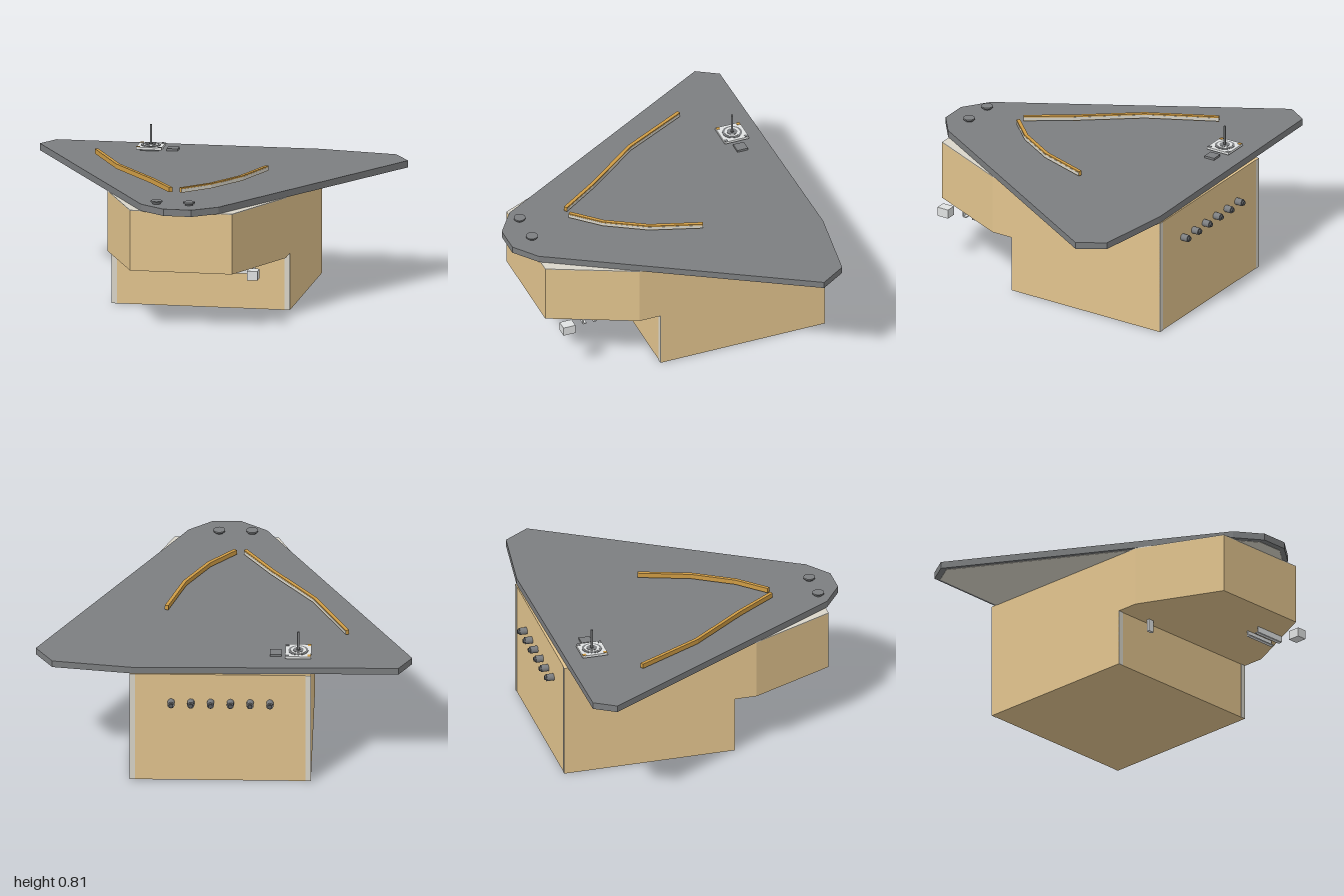
import * as THREE from 'three';

const mat = (name, color) => {
  const m = new THREE.MeshStandardMaterial({ color });
  m.name = name;
  return m;
};

export function createModel() {
  const root = new THREE.Group();
  root.name = 'instrument';
  const wood = mat('wood', 0xe2c48e);
  const core = mat('pale panel core', 0xdad6ca);
  const slate = mat('slate grey', 0x7c7e80);
  const dark = mat('dark grey', 0x5c5e60);
  const metal = mat('light metal', 0xe0e2e2);
  const brass = mat('brass', 0xcf9c45);

  const add = (name, geometry, material, x = 0, y = 0, z = 0, parent = root) => {
    const mesh = new THREE.Mesh(geometry, material);
    mesh.name = name;
    mesh.position.set(x, y, z);
    parent.add(mesh);
    return mesh;
  };
  // Box given by its limits on each axis
  const box = (name, material, x0, x1, y0, y1, z0, z1, parent = root) =>
    add(name, new THREE.BoxGeometry(x1 - x0, y1 - y0, z1 - z0), material,
      (x0 + x1) / 2, (y0 + y1) / 2, (z0 + z1) / 2, parent);
  // Horizontal slab from an outline of [x, z] points
  const slab = (name, material, outline, y0, y1) => {
    const shape = new THREE.Shape(outline.map(([x, z]) => new THREE.Vector2(x, z)));
    const g = new THREE.ExtrudeGeometry(shape, { depth: y1 - y0, bevelEnabled: false });
    g.rotateX(Math.PI / 2);
    return add(name, g, material, 0, y1, 0);
  };
  const disc = (name, material, r, y0, y1, x, z, parent = root) =>
    add(name, new THREE.CylinderGeometry(r, r, y1 - y0, 24), material, x, (y0 + y1) / 2, z, parent);

  // Cabinet: deep rear box and shallow tapered nose
  box('rearCabinet', wood, -0.465, 0.497, 0, 0.638, -0.79, 0.147);
  const nose = [[-0.465, 0.147], [0.497, 0.147], [0.497, 0.27], [0.29, 0.725], [-0.26, 0.725], [-0.465, 0.27]];
  slab('noseCabinet', wood, nose, 0.31, 0.634);
  slab('noseTopEdge', core, nose, 0.634, 0.638);

  // Exposed ends of the side panels
  for (const [x0, x1] of [[-0.465, -0.437], [0.469, 0.497]]) {
    box('frontPanelEnd', core, x0, x1, 0, 0.31, 0.146, 0.149);
    box('backPanelEnd', core, x0, x1, 0, 0.638, -0.792, -0.789);
  }

  // Wide top plate with a pale underside set in from its rim
  const plate = [
    [-0.93, -0.765], [0.49, -0.785], [0.91, -0.725], [1, -0.585], [0.24, 0.697], [0.22, 0.733],
    [0.09, 0.833], [-0.06, 0.833], [-0.2, 0.733], [-0.22, 0.697], [-1, -0.65],
  ];
  slab('topPlate', slate, plate, 0.638, 0.675);
  const inset = plate.map(([x, z]) => [x * 0.97, -0.25 + (z + 0.25) * 0.97]);
  slab('plateUnderside', core, inset, 0.636, 0.639);

  // Bent strips just above the plate, pale on their +x side
  const strips = [
    [[-0.65, -0.415], [-0.47, -0.065], [-0.235, 0.24], [-0.09, 0.455]],
    [[0.315, -0.165], [0.225, 0.105], [0.1, 0.315], [-0.035, 0.455]],
  ];
  for (const path of strips) {
    const strip = new THREE.Group();
    strip.name = 'touchStrip';
    root.add(strip);
    for (let i = 0; i < path.length - 1; i++) {
      const [x0, z0] = path[i], [x1, z1] = path[i + 1];
      const length = Math.hypot(x1 - x0, z1 - z0) + 0.004;
      const segment = new THREE.Group();
      segment.name = 'stripSegment';
      segment.position.set((x0 + x1) / 2, 0, (z0 + z1) / 2);
      segment.rotation.y = Math.atan2(x1 - x0, z1 - z0);
      strip.add(segment);
      box('stripBar', brass, -0.01, 0.009, 0.685, 0.711, -length / 2, length / 2, segment);
      box('stripSide', core, 0.008, 0.01, 0.687, 0.704, -length / 2, length / 2, segment);
    }
  }

  // Joystick: square base, concentric rings, corner screws and a thin rod
  const stick = new THREE.Group();
  stick.name = 'joystick';
  stick.position.set(-0.395, 0, -0.62);
  root.add(stick);
  box('joystickFoot', dark, -0.05, 0.05, 0.675, 0.684, -0.05, 0.05, stick);
  box('joystickBase', metal, -0.069, 0.069, 0.684, 0.697, -0.069, 0.069, stick);
  [[0.053, slate], [0.041, metal], [0.028, slate], [0.01, dark]].forEach(([r, m], i) =>
    disc('joystickRing', m, r, 0.69, 0.699 + i * 0.002, 0, 0, stick));
  for (const sx of [-1, 1]) for (const sz of [-1, 1])
    box('joystickCorner', sx > 0 ? slate : brass, sx * 0.058 - 0.009, sx * 0.058 + 0.009,
      0.69, 0.699, sz * 0.058 - 0.009, sz * 0.058 + 0.009, stick);
  disc('joystickRod', slate, 0.006, 0.69, 0.81, 0, 0, stick);

  // Small square switch and two round buttons at the nose
  box('switch', slate, -0.305, -0.245, 0.675, 0.687, -0.65, -0.59);
  for (const x of [-0.12, 0.055]) {
    disc('buttonStem', dark, 0.022, 0.675, 0.685, x, 0.707);
    disc('button', slate, 0.031, 0.684, 0.692, x, 0.707);
  }

  // Row of sockets on the back
  for (let i = 0; i < 6; i++) {
    const x = -0.248 + i * 0.105;
    const nut = new THREE.CylinderGeometry(0.019, 0.019, 0.042, 12).rotateX(Math.PI / 2);
    const tip = new THREE.CylinderGeometry(0.012, 0.012, 0.012, 12).rotateX(Math.PI / 2);
    add('socketNut', nut, slate, x, 0.472, -0.809);
    add('socketTip', tip, dark, x, 0.472, -0.834);
  }

  // Fittings under the nose: two facing angle rails, block and tab
  for (const [z, s] of [[0.54, -1], [0.463, 1]]) {
    box('railWeb', metal, 0.19, 0.37, 0.278, 0.311, z - 0.003, z + 0.003);
    const foot = z + s * 0.02;
    box('railFoot', metal, 0.19, 0.37, 0.276, 0.282, Math.min(z, foot), Math.max(z, foot));
  }
  box('sideBlock', metal, 0.362, 0.418, 0.27, 0.32, 0.604, 0.672);
  box('hangingTab', metal, -0.28, -0.245, 0.243, 0.311, 0.175, 0.192);

  return root;
}
